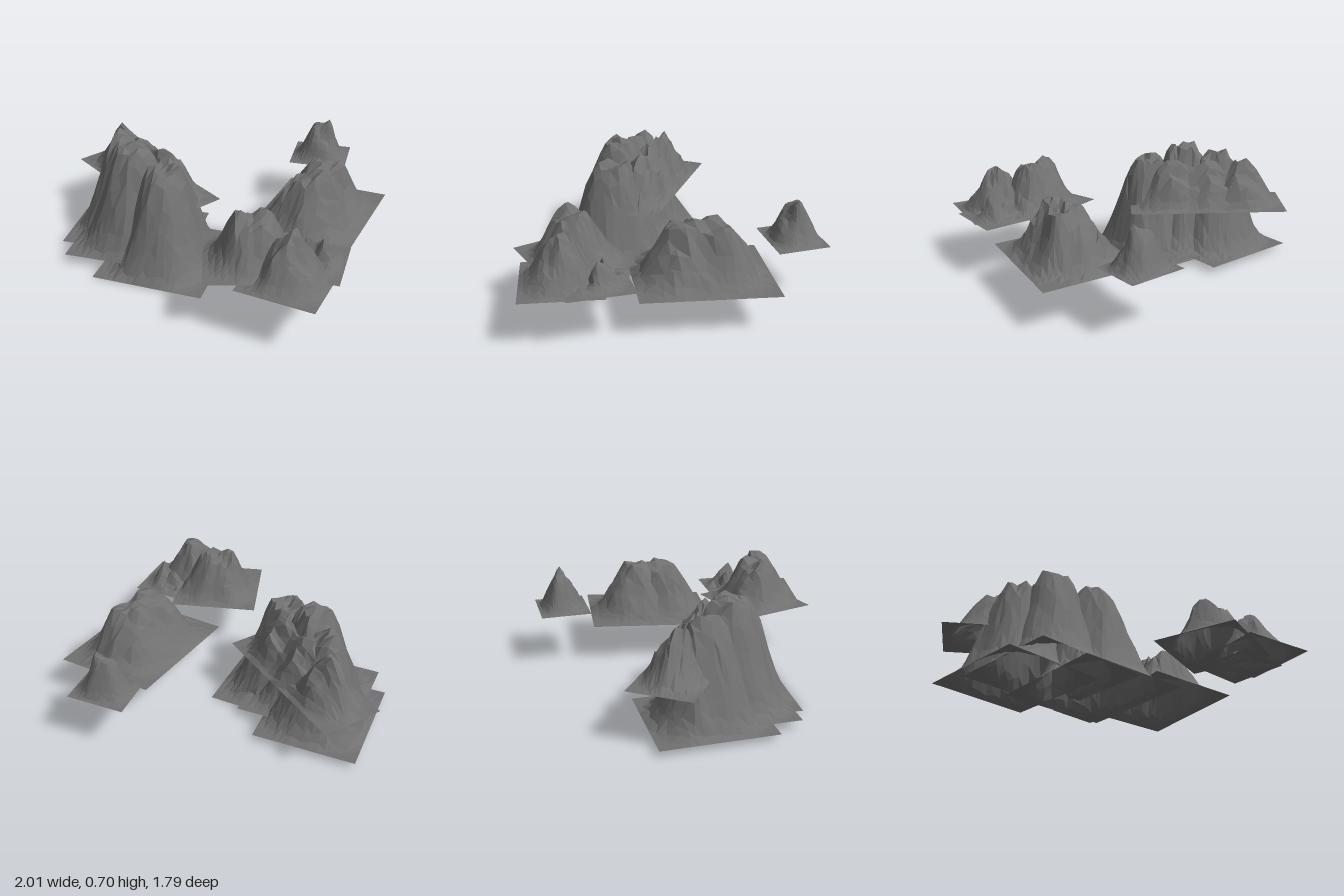
import * as THREE from 'three';

const { smoothstep, lerp } = THREE.MathUtils;
const material = new THREE.MeshStandardMaterial({ color: 0x707070, flatShading: true, side: THREE.DoubleSide });

// Seeded lattice value, 0..1
function hash(i, j, seed) {
  const s = Math.sin(i * 127.1 + j * 311.7 + seed * 74.7) * 43758.5453;
  return s - Math.floor(s);
}

// Smooth value noise, -1..1
function noise(x, y, seed) {
  const i = Math.floor(x), j = Math.floor(y);
  const u = smoothstep(x - i, 0, 1), v = smoothstep(y - j, 0, 1);
  const low = lerp(hash(i, j, seed), hash(i + 1, j, seed), u);
  const high = lerp(hash(i, j + 1, seed), hash(i + 1, j + 1, seed), u);
  return lerp(low, high, v) * 2 - 1;
}

// Height of a flared bell, with a row of summits along the longer side
function rise(u, v, { width, depth, height, summits = 1, rough = 0.06 }, seed) {
  const spacing = 0.45, reach = 1 - spacing * (summits - 1) / 2;
  const [along, across] = width > depth ? [u, v] : [v, u];
  const crag = noise(u * width * 18, v * depth * 18, seed + 5) - 0.3;
  let top = 0;
  for (let n = 0; n < summits; n++) {
    const s = (along - (n - (summits - 1) / 2) * spacing) / reach;
    const r = Math.hypot(s, across) || 1e-6;
    // Gullies depend on direction only, so they run straight down the slope
    const d = r * (1 + 0.08 * noise(2.2 * s / r, 2.2 * across / r, seed));
    const f = (1 - smoothstep(d, 0.2, 1.25)) ** 1.8;
    top = Math.max(top, f * height + rough * crag * f);
  }
  // Flares out to zero at the rim
  return top * (1 - u ** 8) * (1 - v ** 8);
}

// Rectangular sheet (half width and depth) turned about y and raised into a mountain
function mountain(spec, seed) {
  const { name, x, z, width, depth, turn, skew = 0, base } = spec;
  const segments = 16;
  const geometry = new THREE.PlaneGeometry(2, 2, segments, segments).rotateX(-Math.PI / 2);
  const p = geometry.attributes.position;
  for (let i = 0; i < p.count; i++) {
    let u = p.getX(i), v = p.getZ(i);
    // Uneven facets inside, straight edges outside
    if (Math.max(Math.abs(u), Math.abs(v)) < 0.99) {
      u += (hash(i, 1, seed) - 0.5) * 1.2 / segments;
      v += (hash(i, 2, seed) - 0.5) * 1.2 / segments;
    }
    p.setXYZ(i,
      x + u * width * Math.cos(turn + skew) + v * depth * Math.sin(turn),
      base + rise(u, v, spec, seed),
      z - u * width * Math.sin(turn + skew) + v * depth * Math.cos(turn));
  }
  geometry.computeVertexNormals();
  const mesh = new THREE.Mesh(geometry, material);
  mesh.name = name;
  return mesh;
}

export function createModel() {
  const group = new THREE.Group();
  group.name = 'mountainRange';

  // Tall western massif: three overlapping columns and a raised rear ridge
  const massif = [
    { name: 'massifFront', x: -0.2, z: 0.33, width: 0.335, depth: 0.355, turn: 0.2, base: 0, height: 0.63 },
    { name: 'massifMiddle', x: -0.43, z: 0.29, width: 0.35, depth: 0.34, turn: 0.25, base: 0.06, height: 0.62 },
    { name: 'massifRear', x: -0.59, z: 0.165, width: 0.315, depth: 0.34, turn: 0.26, base: 0.04, height: 0.59 },
    { name: 'rearRidge', x: -0.49, z: 0.09, width: 0.485, depth: 0.19, turn: -0.37, base: 0.335, height: 0.26, summits: 3 },
  ];
  // Broad eastern mountain with a long crest, and the small peak behind it
  const east = [
    { name: 'eastMountain', x: 0.55, z: -0.16, width: 0.305, depth: 0.385, turn: 0.06, skew: 0.09, base: 0.25, height: 0.32, summits: 2 },
    { name: 'northPeak', x: 0.33, z: -0.705, width: 0.175, depth: 0.155, turn: 0.26, base: 0.35, height: 0.23 },
  ];
  // Low south-eastern group
  const south = [
    { name: 'southPeak', x: 0.49, z: 0.54, width: 0.27, depth: 0.25, turn: 0.52, base: 0.335, height: 0.31 },
    { name: 'southEastPeak', x: 0.735, z: 0.59, width: 0.225, depth: 0.23, turn: 0.07, base: 0.32, height: 0.25 },
    { name: 'brokenHills', x: 0.785, z: 0.41, width: 0.175, depth: 0.185, turn: 0.23, base: 0.335, height: 0.1, rough: 0.09 },
  ];

  [massif, east, south].flat().forEach((spec, i) => group.add(mountain(spec, i + 1)));
  return group;
}
